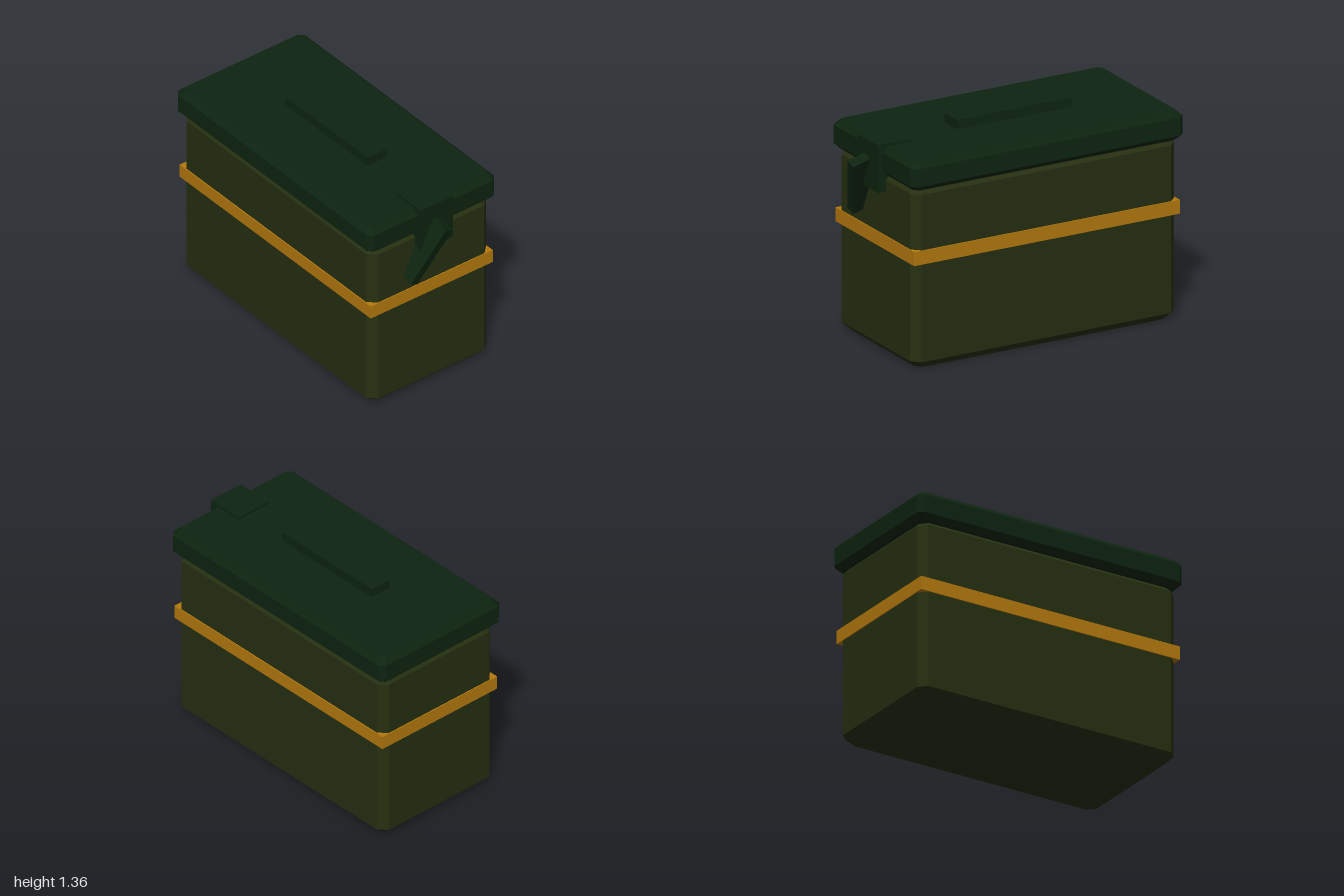
import * as THREE from 'three';
import { ConvexGeometry } from 'three/addons/geometries/ConvexGeometry.js';

const material = (name, color) => {
  const m = new THREE.MeshStandardMaterial({ color });
  m.name = name;
  return m;
};

// Octagonal ring of points at height y
function ring(hx, hz, cut, y) {
  const points = [];
  for (const sx of [-1, 1]) {
    for (const sz of [-1, 1]) {
      points.push(new THREE.Vector3(sx * hx, y, sz * (hz - cut)));
      points.push(new THREE.Vector3(sx * (hx - cut), y, sz * hz));
    }
  }
  return points;
}

// Box with every edge bevelled, standing on y = 0
function bevelledBox(w, h, d, c) {
  const hx = w / 2, hz = d / 2;
  return new ConvexGeometry([
    ...ring(hx - c, hz - c, c * 0.8, 0),
    ...ring(hx, hz, c, c),
    ...ring(hx, hz, c, h - c),
    ...ring(hx - c, hz - c, c * 0.8, h),
  ]);
}

export function createModel() {
  const model = new THREE.Group();
  model.name = 'ammunitionBox';
  const olive = material('olive', 0x262f11);
  const green = material('darkGreen', 0x0d2410);
  const amber = material('amber', 0xb4790e);

  const add = (name, geometry, mat, x, y, z = 0) => {
    const mesh = new THREE.Mesh(geometry, mat);
    mesh.name = name;
    mesh.position.set(x, y, z);
    model.add(mesh);
    return mesh;
  };

  // Container and overhanging lid
  add('body', bevelledBox(1.79, 1.14, 0.896, 0.05), olive, -0.075, 0);
  add('lid', bevelledBox(1.846, 0.18, 0.954, 0.034), green, -0.077, 1.118);

  // Painted band around the body
  add('band', new THREE.BoxGeometry(1.803, 0.086, 0.91), amber, -0.075, 0.702);

  // Flat carrying handle on the lid
  add('handle', new THREE.BoxGeometry(0.775, 0.08, 0.143), green, -0.077, 1.316);

  // Latch block over the left edge, with its slanted lever
  add('latch', new THREE.BoxGeometry(0.236, 0.296, 0.24), green, 0.757, 1.167);
  const leverShape = new THREE.BoxGeometry(0.12, 0.42, 0.06);
  leverShape.translate(-0.06, -0.21, 0); // pivot at the outer top edge
  const lever = add('latchLever', leverShape, green, 0.991, 1.183, 0);
  lever.rotation.set(-0.44, 0, -0.28, 'ZXY');

  return model;
}
